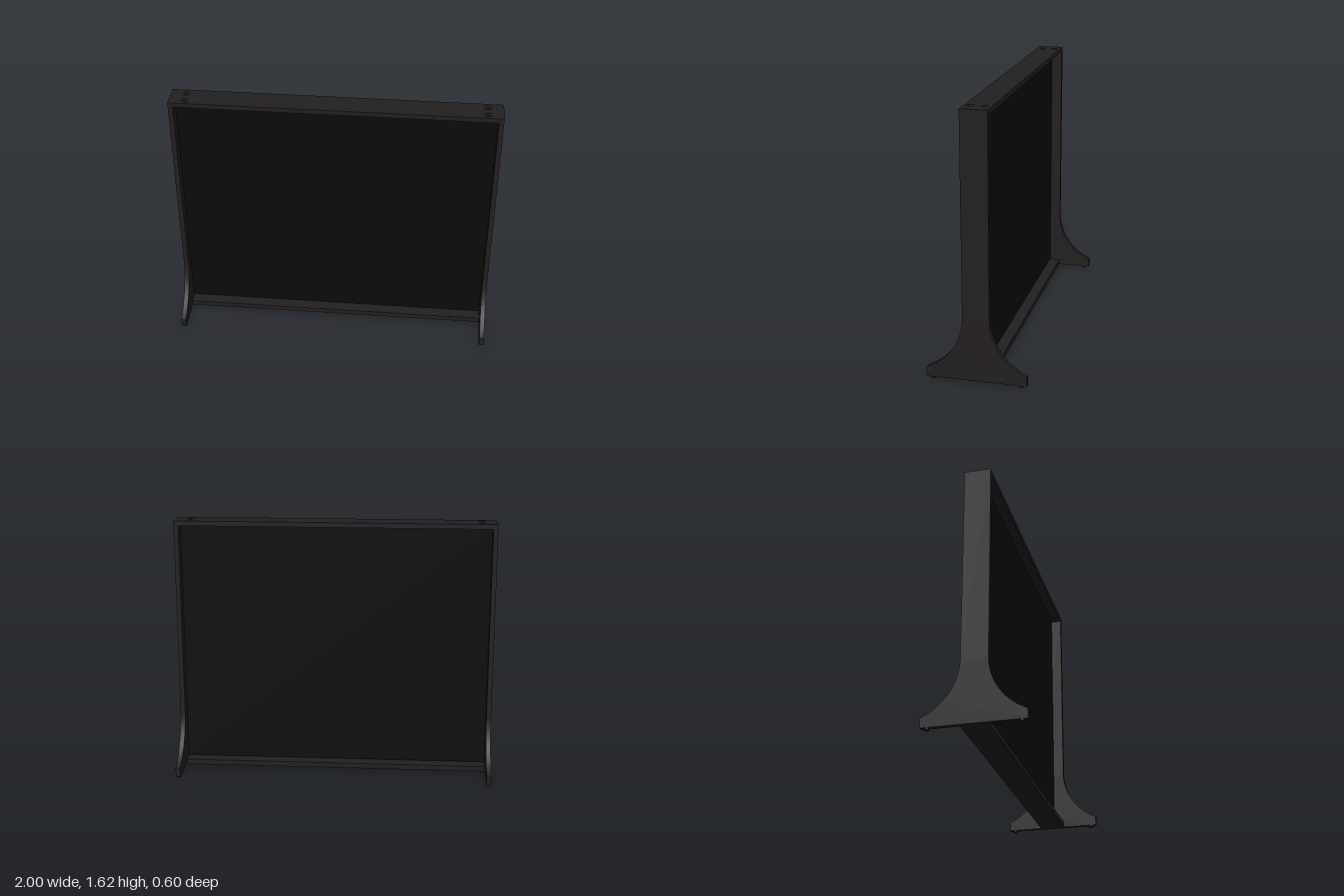
import * as THREE from 'three';

const frameMat = new THREE.MeshStandardMaterial({ color: 0x231f20 });
const panelMat = new THREE.MeshStandardMaterial({ color: 0x0b0b0b });
const footMat = new THREE.MeshStandardMaterial({ color: 0x141414 });

const THICK = 0.03;   // board thickness
const HALF_D = 0.08;  // half depth of the frame
const TOP = 1.62;
const BASE = 0.012;   // underside of the boards, above the foot pads
const INNER = 1 - THICK;

function add(parent, name, geometry, material, x, y, z) {
  const mesh = new THREE.Mesh(geometry, material);
  mesh.name = name;
  mesh.position.set(x, y, z);
  parent.add(mesh);
  return mesh;
}

// Upright side board whose base flares out along two circular arcs
function sideBoardGeometry() {
  const footZ = 0.30, footY = 0.07, arcY = 0.40, r = 0.3575;
  const cx = HALF_D + r;
  const end = Math.atan2(footY - arcY, footZ - cx);
  const s = new THREE.Shape();
  s.moveTo(-footZ, BASE);
  s.lineTo(footZ, BASE);
  s.lineTo(footZ, footY);
  s.absarc(cx, arcY, r, end, -Math.PI, true);
  s.lineTo(HALF_D, TOP);
  s.lineTo(-HALF_D, TOP);
  s.lineTo(-HALF_D, arcY);
  s.absarc(-cx, arcY, r, 0, -Math.PI - end, true);
  s.lineTo(-footZ, BASE);
  const g = new THREE.ExtrudeGeometry(s, { depth: THICK, bevelEnabled: false, curveSegments: 24 });
  g.translate(0, 0, -THICK / 2);
  g.rotateY(Math.PI / 2);
  return g;
}

// Top board with two pairs of round holes
function topBoardGeometry(holes) {
  const s = new THREE.Shape([
    new THREE.Vector2(-INNER, -HALF_D), new THREE.Vector2(INNER, -HALF_D),
    new THREE.Vector2(INNER, HALF_D), new THREE.Vector2(-INNER, HALF_D),
  ]);
  for (const [x, z] of holes) {
    s.holes.push(new THREE.Path().absarc(x, z, 0.02, 0, Math.PI * 2, true));
  }
  const g = new THREE.ExtrudeGeometry(s, { depth: THICK, bevelEnabled: false, curveSegments: 16 });
  g.rotateX(-Math.PI / 2);
  return g;
}

export function createModel() {
  const model = new THREE.Group();
  model.name = 'framedStandingScreen';

  // Side boards with foot pads
  const sideGeo = sideBoardGeometry();
  for (const [side, sx] of [['left', 1], ['right', -1]]) {
    const x = sx * (1 - THICK / 2);
    add(model, side + 'SideBoard', sideGeo, frameMat, x, 0, 0);
    for (const [end, sz] of [['Front', 1], ['Back', -1]]) {
      add(model, side + end + 'FootPad', new THREE.CylinderGeometry(0.014, 0.014, BASE, 20),
        footMat, x, BASE / 2, sz * 0.265);
    }
  }

  // Top board and the dark floors of its holes
  const holes = [];
  for (const x of [-0.905, 0.905]) for (const z of [-0.04, 0.04]) holes.push([x, z]);
  add(model, 'topBoard', topBoardGeometry(holes), frameMat, 0, TOP - THICK, 0);
  for (const [x, z] of holes) {
    add(model, 'holeFloor', new THREE.CylinderGeometry(0.02, 0.02, 0.01, 24),
      panelMat, x, TOP - THICK + 0.005, z);
  }

  // Bottom board
  const bottomH = 0.033;
  add(model, 'bottomBoard', new THREE.BoxGeometry(2 * INNER, bottomH, 2 * HALF_D),
    frameMat, 0, BASE + bottomH / 2, 0);

  // Thin centre panel, with a narrow gap above the bottom board
  const y0 = 0.051, y1 = TOP - THICK;
  add(model, 'centrePanel', new THREE.BoxGeometry(2 * INNER, y1 - y0, 0.025),
    panelMat, 0, (y0 + y1) / 2, 0);

  return model;
}
